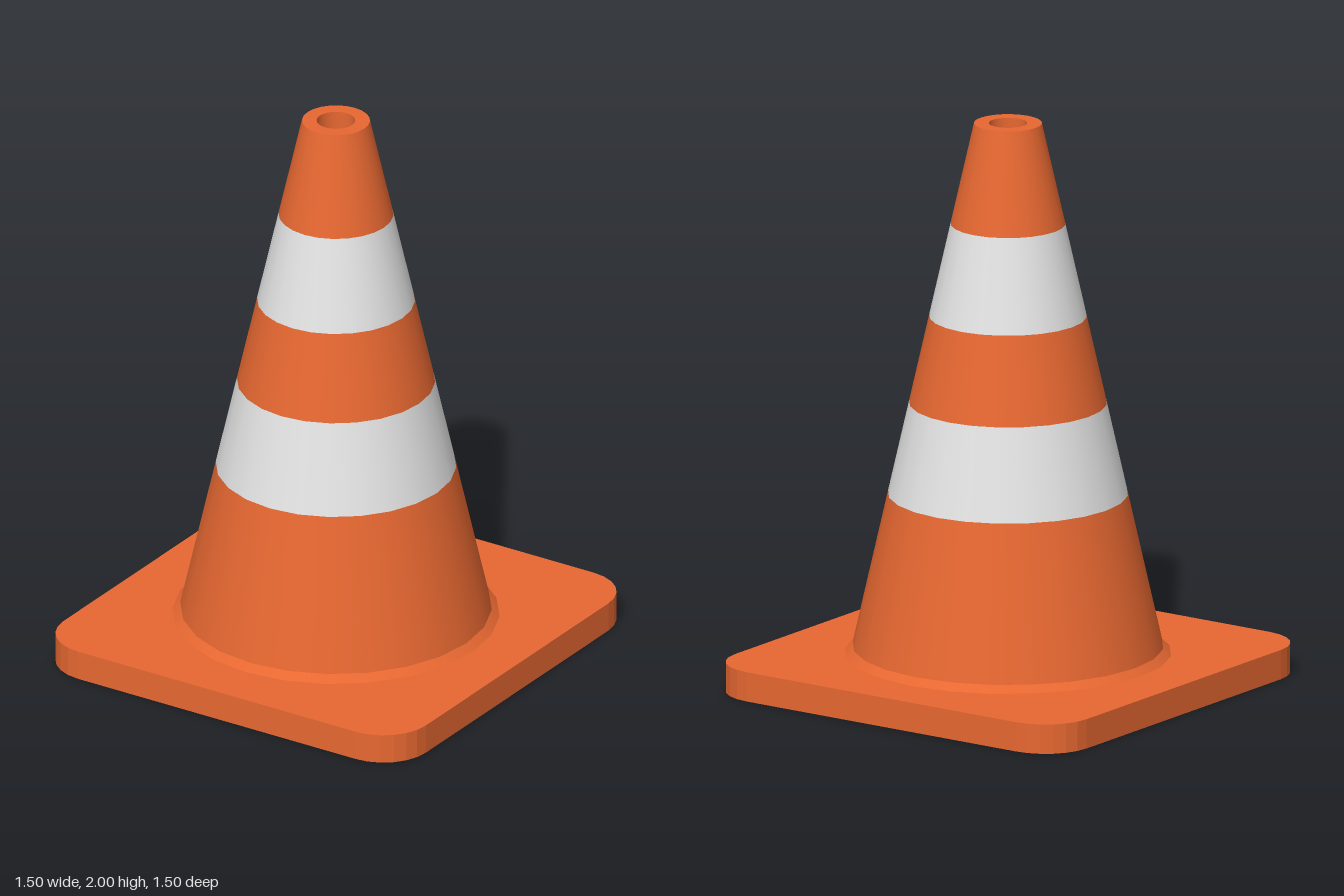
import * as THREE from 'three';

const orange = new THREE.MeshStandardMaterial({ color: 0xea6932 });
orange.name = 'orange plastic';
const white = new THREE.MeshStandardMaterial({ color: 0xe4e4e4 });
white.name = 'reflective white';

const SIDES = 24;
const BASE_TOP = 0.105, SKIRT_TOP = 0.13, TOP = 2;
const RIM = 0.118, HOLE = 0.067, HOLE_FLOOR = 1.7;

// Radius of the tapering body at height y
const coneRadius = (y) => THREE.MathUtils.mapLinear(y, SKIRT_TOP, TOP, 0.54, RIM);

export function createModel() {
  const group = new THREE.Group();

  const add = (name, geometry, material) => {
    const mesh = new THREE.Mesh(geometry, material);
    mesh.name = name;
    group.add(mesh);
    return mesh;
  };
  // One straight surface of revolution, so edges between parts stay sharp
  const band = (name, r0, y0, r1, y1, material = orange) =>
    add(name, new THREE.LatheGeometry(
      [new THREE.Vector2(r0, y0), new THREE.Vector2(r1, y1)], SIDES), material);

  // Square base plate with rounded corners
  const c = 0.575, r = 0.175;
  const outline = new THREE.Shape();
  [[c, c], [-c, c], [-c, -c], [c, -c]].forEach(([x, y], i) =>
    outline.absarc(x, y, r, i * Math.PI / 2, (i + 1) * Math.PI / 2, false));
  const plate = new THREE.ExtrudeGeometry(outline, {
    depth: BASE_TOP, bevelEnabled: false, curveSegments: 3,
  });
  plate.rotateX(-Math.PI / 2);
  add('basePlate', plate, orange);

  // Sloped collar where the body meets the base
  band('collar', 0.567, BASE_TOP, 0.54, SKIRT_TOP);

  // Body: alternating orange and white bands
  const heights = [SKIRT_TOP, 0.675, 1.0, 1.31, 1.64, TOP];
  for (let i = 0; i < heights.length - 1; i++) {
    const [y0, y1] = [heights[i], heights[i + 1]];
    const striped = i % 2 === 1;
    band(striped ? 'whiteStripe' : 'orangeBody',
      coneRadius(y0), y0, coneRadius(y1), y1, striped ? white : orange);
  }

  // Flat rim and the hole in the tip
  band('topRim', RIM, TOP, HOLE, TOP);
  band('holeWall', HOLE, TOP, HOLE, HOLE_FLOOR);
  band('holeFloor', HOLE, HOLE_FLOOR, 0, HOLE_FLOOR);

  return group;
}
